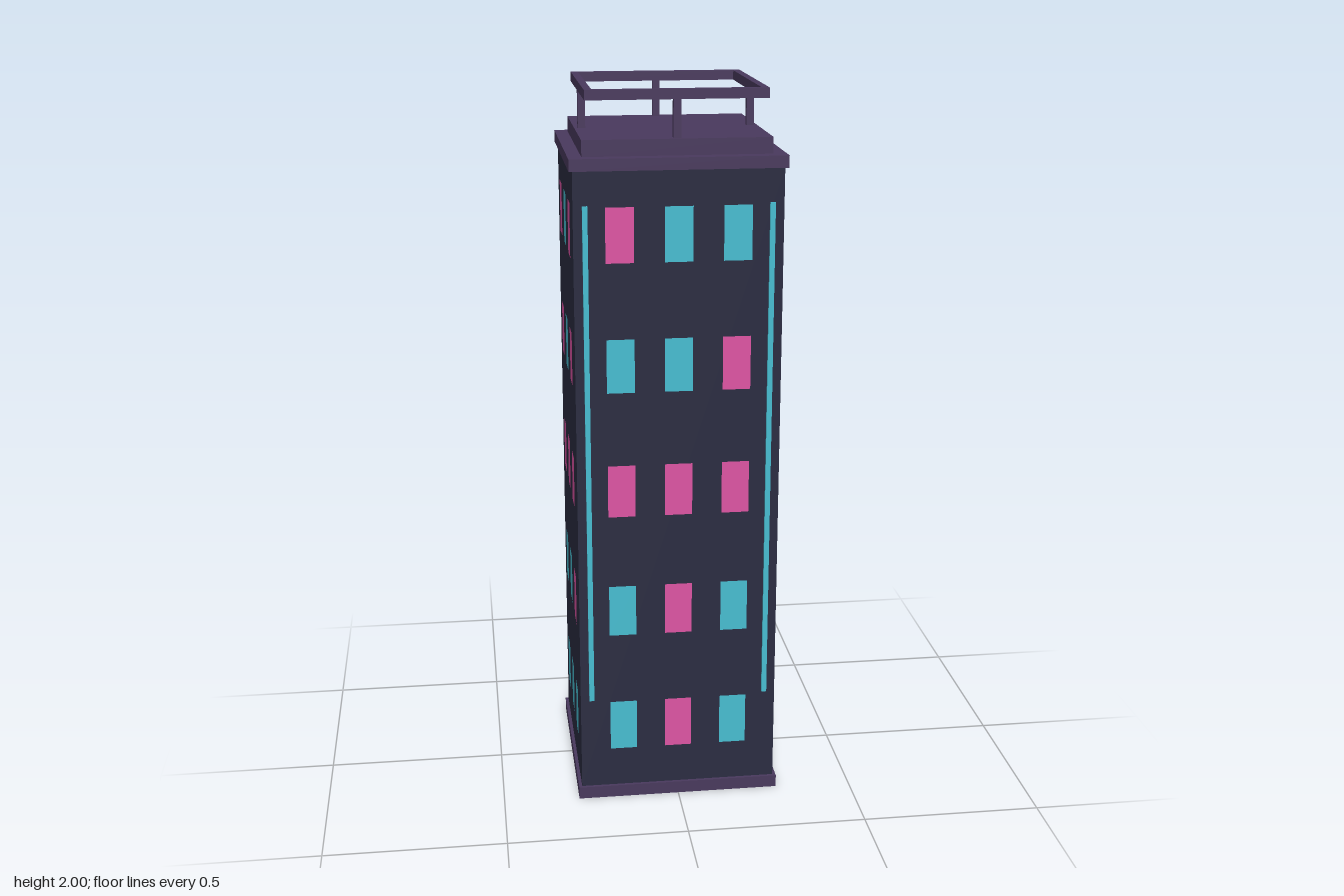
import * as THREE from 'three';

const material = (color, side = THREE.FrontSide) => new THREE.MeshStandardMaterial({ color, side });

export function createModel() {
  const tower = new THREE.Group();
  tower.name = 'tower';
  const wall = material(0x2b2d42);
  const trim = material(0x4a3a5e);
  const cyan = material(0x48bfd3);
  const pink = material(0xe055a5);
  const HALF = 0.277;

  function box(parent, name, mat, w, h, d, x, y, z) {
    const mesh = new THREE.Mesh(new THREE.BoxGeometry(w, h, d), mat);
    mesh.name = name;
    mesh.position.set(x, y, z);
    parent.add(mesh);
    return mesh;
  }

  // Square slab between two heights
  const slab = (name, mat, half, y0, y1) =>
    box(tower, name, mat, 2 * half, y1 - y0, 2 * half, 0, (y0 + y1) / 2, 0);

  slab('base', trim, 0.286, 0, 0.035);
  slab('walls', wall, HALF, 0.035, 1.8);
  slab('cornice', trim, 0.286, 1.8, 1.832);
  slab('roofBlock', trim, 0.25, 1.832, 1.875);

  // Window colours per side, top floor first, left to right seen from outside
  const sides = [
    { name: 'front', turn: 0, rows: ['PCC', 'CCP', 'PPP', 'CPC', 'CPC'], strips: true },
    { name: 'right', turn: 1, rows: ['PCP', 'CCC', 'CCC', 'PCC', 'CCC'] },
    { name: 'back', turn: 2, rows: ['CCP', 'PPC', 'PCP', 'PCC', 'PCC'], strips: true },
    { name: 'left', turn: 3, rows: ['PCP', 'PCP', 'PPP', 'CCP', 'CCC'] },
  ];
  const pane = new THREE.PlaneGeometry(0.075, 0.147);

  for (const { name, turn, rows, strips } of sides) {
    const side = new THREE.Group();
    side.name = name + 'Side';
    side.rotation.y = turn * Math.PI / 2;
    tower.add(side);

    // Windows
    rows.forEach((row, r) => [...row].forEach((key, c) => {
      const win = new THREE.Mesh(pane, key === 'P' ? pink : cyan);
      win.name = 'window';
      win.position.set((c - 1) * 0.156, 1.632 - r * 0.352, HALF + 0.002);
      side.add(win);
    }));

    // Vertical light strips
    if (strips) for (const s of [-1, 1])
      box(side, 'lightStrip', cyan, 0.014, 1.404, 0.01, s * 0.246, 1.008, HALF + 0.002);

    // Roof railing: one bar and one middle post per side
    box(side, 'railBar', trim, 0.46, 0.026, 0.02, -0.01, 1.987, 0.23);
    box(side, 'railPost', trim, 0.02, 0.1, 0.02, 0, 1.925, 0.23);
  }

  return tower;
}
